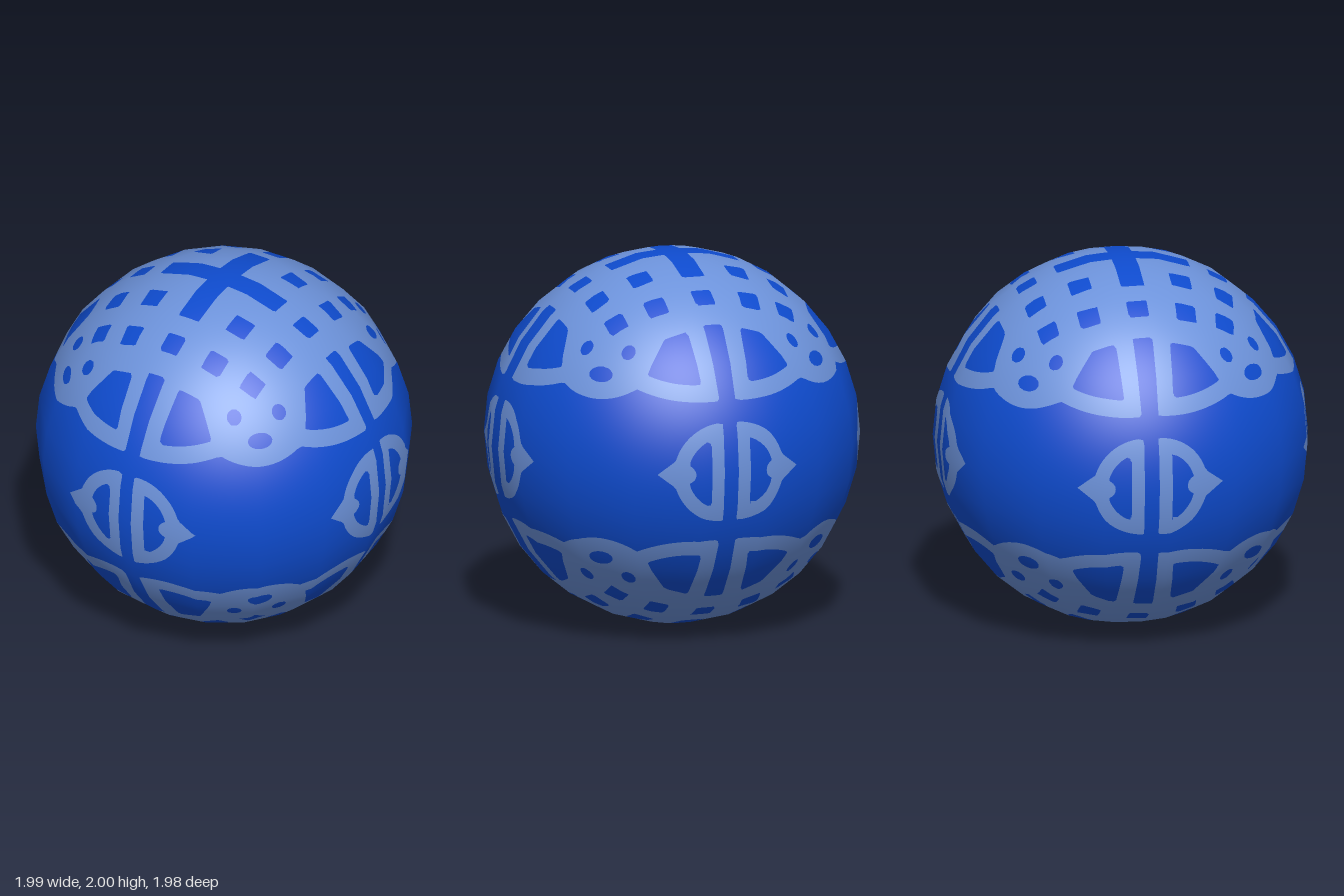
import * as THREE from 'three';

const DEG = 180 / Math.PI;
const { min, max, abs, hypot } = Math;

// Signed fields in degrees: positive inside the shape
const disc = (x, y, cx, cy, r) => r - hypot(x - cx, y - cy);
const square = (x, y, cx, cy, h) => h - max(abs(x - cx), abs(y - cy));

// Woven cap around each pole; theta = angle from the pole, lon = longitude
function capField(theta, lon) {
  const a = abs(theta * Math.sin(lon)), b = abs(theta * Math.cos(lon));
  const p = min(a, b), q = max(a, b); // eightfold symmetry

  const lobe = disc(p, q, 4, 28.9, 38.6);
  const gap = max(p - 3.3, 42 - q);
  const cornerLoop = disc(p, q, 30.8, 30.8, 24);
  const band = max(min(lobe, gap), cornerLoop);

  // Openings between the strands
  const cross = min(3.7 - p, 21 - q);
  const lattice = max(
    square(p, q, 16, 16, 3.4), square(p, q, 0, 31, 3.3),
    square(p, q, 16, 31.1, 3.4), square(p, q, 30, 30, 3.3));
  const fan = min(p - 9.3, q - 43.5, disc(p, q, 4, 28.9, 33.2),
    ((q - 43.5) * 10 - (p - 17.5) * 9) / 13.45);
  const s = (p + q) / Math.SQRT2 - 59.7, t = (q - p) / Math.SQRT2;
  const loopEye = 2.5 * (1 - hypot(s / 2.5, t / 4.7));
  const loopSide = disc(p, q, 30.5, 42, 2.6);
  return min(band, -max(cross, lattice, fan, loopEye, loopSide));
}

// Split medallion on the equator; l = longitude from its middle, b = latitude
function medallionField(l, b) {
  const tip = min((23.3 - l - abs(b) / 0.75) * 0.6, l - 12);
  const outer = min(max(disc(l, b, 2.5, 0, 15.7), tip), l - 2.3);
  const hole = min(disc(l, b, 2.5, 0, 11.3), l - 6.3, -disc(l, b, 14.2, 0, 2.9));
  return min(outer, -hole);
}

// Whole pattern for a point on the ball, four times around and mirrored top to bottom
function patternField(v) {
  const n = v.clone().normalize();
  const lat = Math.asin(max(-1, min(1, n.y))) * DEG;
  const lon = Math.atan2(n.x, n.z) * DEG - 36;
  const l = abs(lon - 90 * Math.round(lon / 90));
  return max(capField(90 - abs(lat), lon / DEG), medallionField(l, lat));
}

// Keep the part of a triangle where sign * field is positive
function clip(tri, sign, out) {
  const poly = [];
  tri.forEach((a, i) => {
    const b = tri[(i + 1) % 3];
    const fa = a.f * sign, fb = b.f * sign;
    if (fa >= 0) poly.push(a.v);
    if ((fa >= 0) !== (fb >= 0)) poly.push(a.v.clone().lerp(b.v, fa / (fa - fb)));
  });
  for (let i = 2; i < poly.length; i++) out.push(poly[0], poly[i - 1], poly[i]);
}

// Mesh from loose triangles with smooth ball normals
function ballMesh(name, points, material) {
  const geometry = new THREE.BufferGeometry().setFromPoints(points);
  const normals = points.flatMap((v) => v.clone().normalize().toArray());
  geometry.setAttribute('normal', new THREE.Float32BufferAttribute(normals, 3));
  geometry.translate(0, 1, 0);
  const mesh = new THREE.Mesh(geometry, material);
  mesh.name = name;
  return mesh;
}

export function createModel() {
  const group = new THREE.Group();
  group.name = 'patternedBall';
  const blue = new THREE.MeshStandardMaterial({ color: 0x0e4bce });
  blue.name = 'deepBlue';
  const light = new THREE.MeshStandardMaterial({ color: 0x6c92da });
  light.name = 'lightBlue';

  // Coarse ball whose flat facets are divided and cut along the pattern outline
  const coarse = new THREE.SphereGeometry(1, 17, 16, Math.PI * 1.5);
  const pos = coarse.attributes.position, index = coarse.index;
  const knot = [], ground = [];
  const N = 12;
  for (let k = 0; k < index.count; k += 3) {
    const [A, B, C] = [0, 1, 2].map((j) =>
      new THREE.Vector3().fromBufferAttribute(pos, index.getX(k + j)));
    const grid = [];
    for (let i = 0; i <= N; i++) {
      grid.push([]);
      for (let j = 0; j <= N - i; j++) {
        const v = A.clone().multiplyScalar((N - i - j) / N)
          .addScaledVector(B, i / N).addScaledVector(C, j / N);
        grid[i].push({ v, f: patternField(v) });
      }
    }
    const emit = (...tri) => { clip(tri, 1, knot); clip(tri, -1, ground); };
    for (let i = 0; i < N; i++) {
      for (let j = 0; j < N - i; j++) {
        emit(grid[i][j], grid[i + 1][j], grid[i][j + 1]);
        if (i + j < N - 1) emit(grid[i + 1][j], grid[i + 1][j + 1], grid[i][j + 1]);
      }
    }
  }
  group.add(ballMesh('ballSurface', ground, blue), ballMesh('knotPattern', knot, light));
  return group;
}
